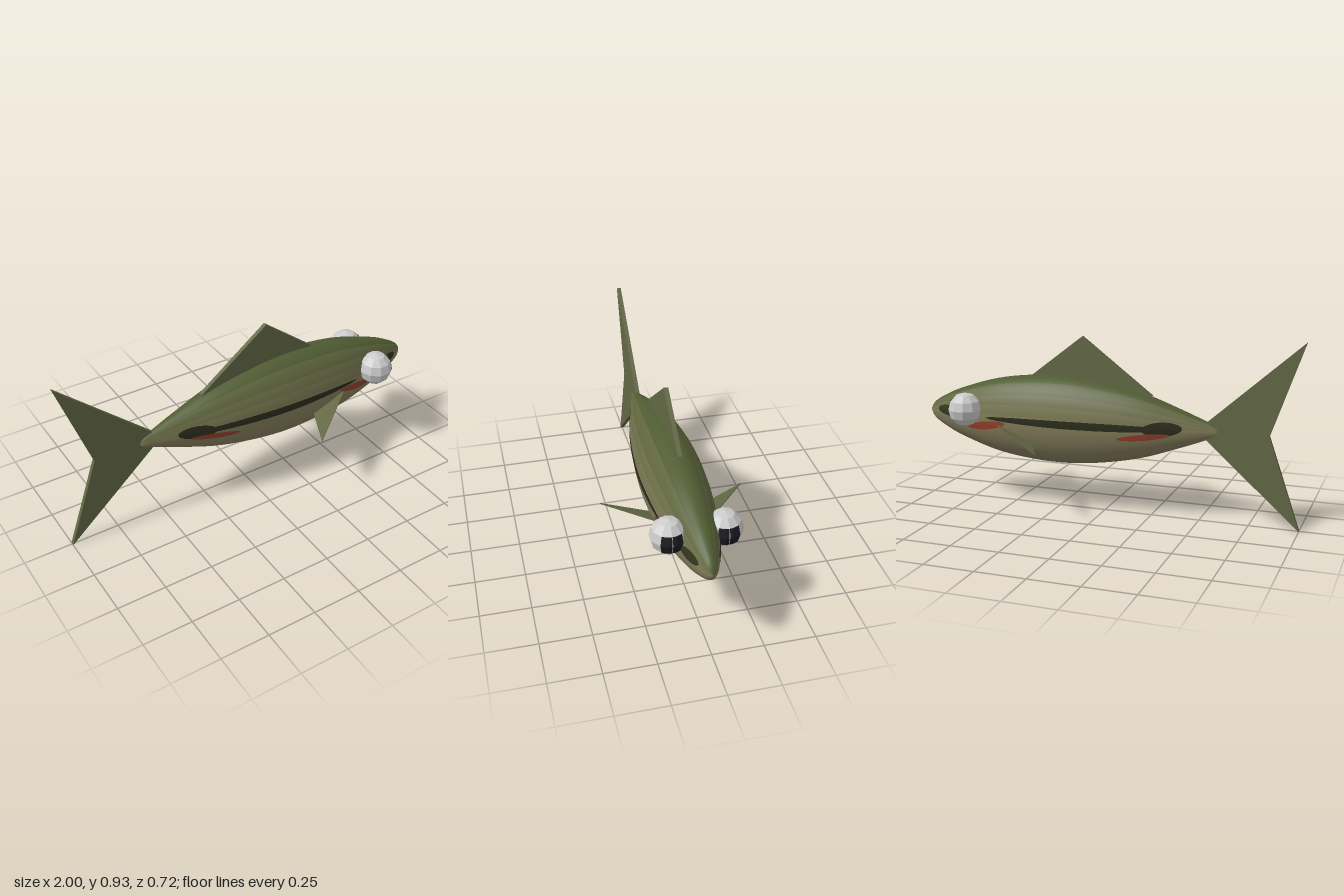
import * as THREE from 'three';
import { ConvexGeometry } from 'three/addons/geometries/ConvexGeometry.js';

const CY = 0.4625, CZ = 0.005, FLAT = 0.665; // body axis and width-to-height ratio

const mat = (color, opts = {}) => new THREE.MeshStandardMaterial({ color, ...opts });

// Body profile: radius (x) along the length (y), tail to nose
const profile = new THREE.SplineCurve([
  [0, -0.6], [0.025, -0.585], [0.05, -0.52], [0.096, -0.4], [0.165, -0.2], [0.207, 0], [0.228, 0.2],
  [0.222, 0.4], [0.193, 0.6], [0.132, 0.8], [0.088, 0.9], [0.045, 0.97], [0, 1],
].map(([r, x]) => new THREE.Vector2(r, x))).getPoints(60);
profile.forEach(p => { p.x = Math.max(0, p.x); });

function radiusAt(x) {
  const i = Math.max(1, profile.findIndex(p => p.y >= x));
  const a = profile[i - 1], b = profile[i];
  return THREE.MathUtils.mapLinear(x, a.y, b.y, a.x, b.x);
}

// Smooth body, coloured in tones from belly to back
function makeBody() {
  const segments = 48, tones = 9;
  const belly = new THREE.Color(0x857a5e), flank = new THREE.Color(0x827e58), back = new THREE.Color(0x505c32);
  const materials = [];
  for (let i = 0; i < tones; i++) {
    const t = (i / (tones - 1)) * 2 - 1;
    const c = t < 0 ? flank.clone().lerp(belly, -t) : flank.clone().lerp(back, t);
    materials.push(mat(c));
  }
  const geo = new THREE.LatheGeometry(profile, segments);
  const perSegment = geo.index.count / segments;
  for (let i = 0; i < segments; i++) {
    const h = -Math.sin(((i + 0.5) / segments) * Math.PI * 2);
    geo.addGroup(i * perSegment, perSegment, Math.round((h + 1) / 2 * (tones - 1)));
  }
  geo.rotateZ(-Math.PI / 2);
  geo.scale(1, 1, FLAT);
  geo.translate(0, CY, CZ);
  const mesh = new THREE.Mesh(geo, materials);
  mesh.name = 'body';
  return mesh;
}

// Tapered marking lying on the flank, from (x0, y0) to (x1, y1)
function makeMarking(name, side, color, x0, y0, x1, y1, half) {
  const geo = new THREE.PlaneGeometry(1, 1, 32, 4);
  const pos = geo.attributes.position;
  for (let i = 0; i < pos.count; i++) {
    const t = pos.getX(i) + 0.5;
    const x = THREE.MathUtils.lerp(x0, x1, t);
    const taper = Math.pow(Math.max(0, Math.sin(Math.PI * t)), 0.5);
    const dy = THREE.MathUtils.lerp(y0, y1, t) + pos.getY(i) * 2 * half * taper - CY;
    const r = radiusAt(x) + 0.003;
    pos.setXYZ(i, x, CY + dy, CZ + side * FLAT * Math.sqrt(Math.max(0, r * r - dy * dy)));
  }
  geo.computeVertexNormals();
  const mesh = new THREE.Mesh(geo, mat(color, { side: THREE.DoubleSide }));
  mesh.name = name;
  return mesh;
}

// Flat upright fin cut from an outline
function makeFin(name, outline, material) {
  const shape = new THREE.Shape(outline.map(([x, y]) => new THREE.Vector2(x, y)));
  const depth = 0.022;
  const geo = new THREE.ExtrudeGeometry(shape, { depth, bevelEnabled: false });
  geo.translate(0, 0, -depth / 2);
  const mesh = new THREE.Mesh(geo, material);
  mesh.name = name;
  return mesh;
}

// Thin triangular side fin, swept back and down
function makeSideFin(side, material) {
  const points = [];
  for (const [x, y, z] of [[0.56, 0.44, 0.12], [0.235, 0.362, 0.358], [0.35, 0.352, 0.12]])
    for (const d of [-0.003, 0.003]) points.push(new THREE.Vector3(x, y + d, z * side));
  const mesh = new THREE.Mesh(new ConvexGeometry(points), material);
  mesh.name = side > 0 ? 'rightSideFin' : 'leftSideFin';
  return mesh;
}

// Faceted eye with a dark patch of facets facing forward
function makeEye(side) {
  const eye = new THREE.Group();
  const r = 0.088, step = Math.PI / 5;
  const ball = new THREE.Mesh(new THREE.SphereGeometry(r, 10, 6), mat(0xcccccc, { flatShading: true }));
  ball.name = 'eyeball';
  const pupil = new THREE.Mesh(
    new THREE.SphereGeometry(r * 1.015, 2, 2, Math.PI - step, 2 * step, Math.PI / 3, Math.PI / 3),
    mat(0x1c1c22, { flatShading: true, side: THREE.DoubleSide }));
  pupil.name = 'pupil';
  eye.add(ball, pupil);
  eye.position.set(0.73, 0.505, 0.008 + side * 0.13);
  eye.name = side > 0 ? 'rightEye' : 'leftEye';
  return eye;
}

export function createModel() {
  const model = new THREE.Group();
  model.name = 'fish';
  const finMaterial = mat(0x636845, { flatShading: true });

  model.add(makeBody());
  model.add(makeFin('tailFin', [[-0.48, 0.4625], [-1, 0.925], [-0.84, 0.4625], [-1, 0]], finMaterial));
  model.add(makeFin('dorsalFin', [[-0.25, 0.62], [-0.2, 0.58], [0.38, 0.64], [0.4, 0.685], [0.12, 0.9]], finMaterial));

  for (const side of [1, -1]) {
    model.add(makeSideFin(side, finMaterial));
    model.add(makeEye(side));
    model.add(makeMarking('stripe', side, 0x2b2c1d, -0.42, 0.468, 0.62, 0.468, 0.02));
    model.add(makeMarking('tailSpot', side, 0x2b2c1d, -0.42, 0.475, -0.22, 0.465, 0.036));
    model.add(makeMarking('cheekSpot', side, 0x34351f, 0.78, 0.475, 0.93, 0.48, 0.028));
    model.add(makeMarking('tailBlush', side, 0x96402c, -0.36, 0.44, -0.1, 0.412, 0.016));
    model.add(makeMarking('gillBlush', side, 0x96402c, 0.5, 0.445, 0.73, 0.408, 0.022));
  }
  return model;
}
